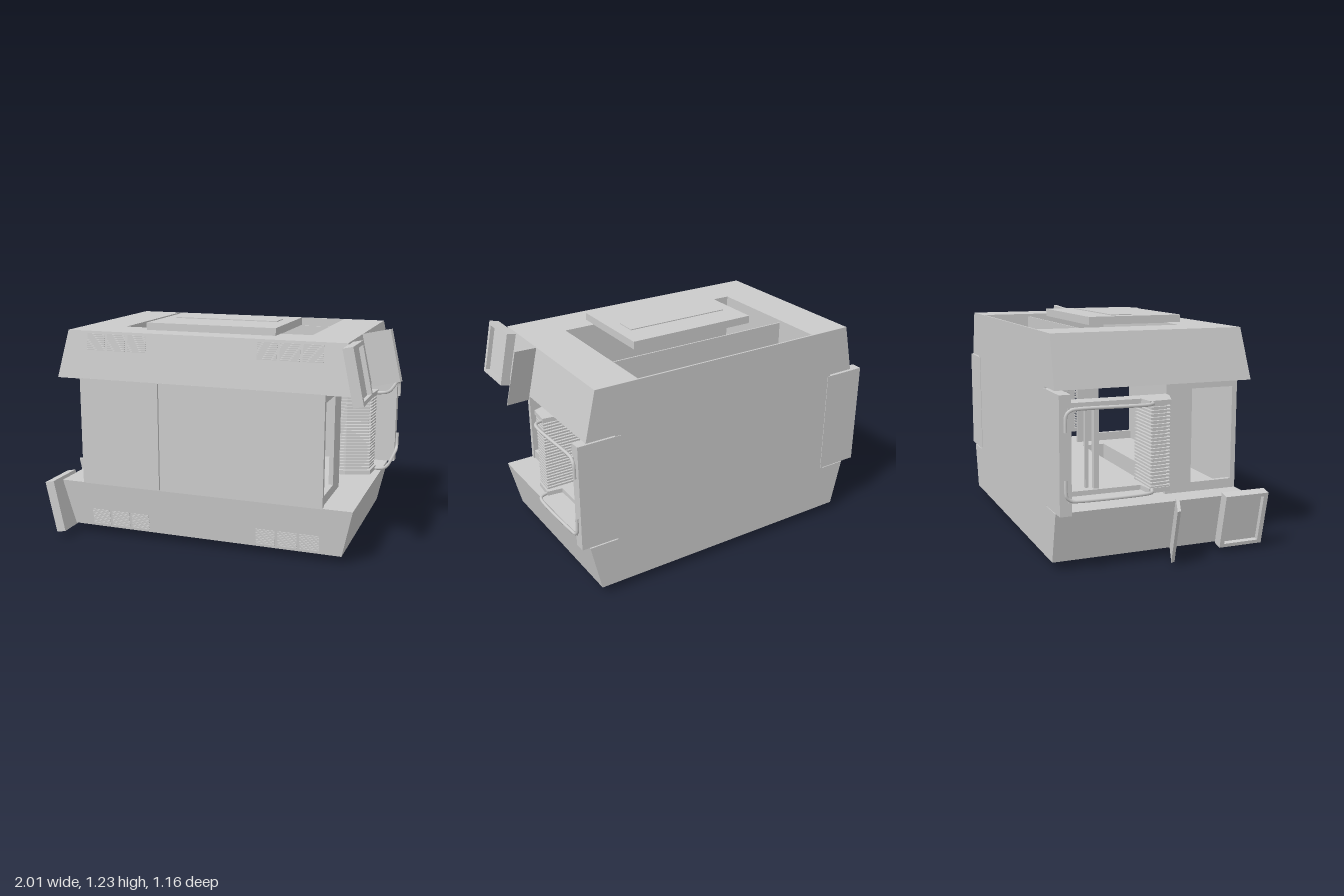
import * as THREE from 'three';

const mat = new THREE.MeshStandardMaterial({ color: 0xcccccc, flatShading: true, side: THREE.DoubleSide });
const smooth = new THREE.MeshStandardMaterial({ color: 0xcccccc });

function add(parent, name, geo, material = mat) {
  const m = new THREE.Mesh(geo, material);
  m.name = name;
  parent.add(m);
  return m;
}

// Box given by its limits on each axis
function box(parent, name, x0, x1, y0, y1, z0, z1) {
  const g = new THREE.BoxGeometry(x1 - x0, y1 - y0, z1 - z0);
  g.translate((x0 + x1) / 2, (y0 + y1) / 2, (z0 + z1) / 2);
  return add(parent, name, g);
}

const vectors = pts => pts.map(p => new THREE.Vector2(...p));
const shapeOf = pts => new THREE.Shape(vectors(pts));
const extrude = (shape, depth) => new THREE.ExtrudeGeometry(shape, { depth, bevelEnabled: false });

// Outline in x/y pushed from z0 to z1
function slice(parent, name, pts, z0, z1) {
  return add(parent, name, extrude(shapeOf(pts), z1 - z0).translate(0, 0, z0));
}

// Height-dependent front face of the sloped housing
const frontZ = y => 0.483 - 0.035 * (y - 0.918) / 0.267;

function housing(parent) {
  const g = new THREE.Group();
  g.name = 'housing';
  parent.add(g);
  const y0 = 0.918, y1 = 1.185, w0 = 0.853, w1 = 0.793, r = 0.55;
  // Shoulders either side of the open middle channel
  for (const s of [1, -1])
    slice(g, 'housingShoulder', [[s * r, y0], [s * w0, y0], [s * w1, y1], [s * r, y1]], -0.58, 0.213);
  // Channel floor, back wall and partition
  box(g, 'channelFloor', -r, r, y0, 0.93, -0.575, 0.065);
  box(g, 'channelBack', -r, r, y0, y1, -0.58, -0.57);
  box(g, 'channelPartition', -r, r, y0, 1.17, -0.294, -0.286);
  // Front section with leaning face
  const front = slice(g, 'housingFront', [[-w0, y0], [w0, y0], [w1, y1], [-w1, y1]], 0.213, 0.483).geometry;
  const p = front.attributes.position;
  for (let i = 0; i < p.count; i++) if (p.getZ(i) > 0.4) p.setZ(i, frontZ(p.getY(i)));
  front.computeVertexNormals();

  // Raised cover plate
  box(g, 'coverPlate', -0.378, 0.373, 1.183, 1.226, -0.23, 0.307);
  box(g, 'coverInlay', -0.31, 0.3, 1.22, 1.231, -0.075, 0.045);

  // Vent blocks: three on each side, closely stacked slats
  for (const s of [1, -1]) for (let b = 0; b < 3; b++) for (let k = 0; k < 9; k++) {
    const y = 1.083 + k * 0.0105;
    const slat = add(g, 'ventSlat', new THREE.BoxGeometry(0.108, 0.005, 0.008));
    slat.position.set(s * (0.372 + b * 0.123), y, frontZ(y));
  }
}

// Framed panel lying against the sloped corner
function cornerPanel(parent, y) {
  const g = new THREE.Group();
  g.name = 'cornerPanel';
  const frame = shapeOf([[-0.125, -0.15], [0.125, -0.15], [0.125, 0.15], [-0.125, 0.15]]);
  frame.holes.push(new THREE.Path(vectors([[-0.1, -0.13], [-0.1, 0.13], [0.1, 0.13], [0.1, -0.13]])));
  add(g, 'panelFrame', extrude(frame, 0.055));
  box(g, 'panelInset', -0.11, 0.11, -0.14, 0.14, 0, 0.03);
  // Turned to face outward, then leaned along the slope
  g.rotation.y = Math.PI / 2;
  const lean = new THREE.Group();
  lean.name = 'cornerPanelMount';
  lean.add(g);
  lean.rotation.z = 0.21;
  lean.position.set(0.824, y, 0.455);
  parent.add(lean);
}

// Thin flap standing off the sloped side
function sideFlap(parent) {
  const a = [0.787, 1.185, 0.085], b = [0.852, 0.9, 0.085];
  const out = [0.146, 0.027, -0.06], t = [0.008, 0, -0.022];
  const plus = (u, v) => u.map((n, i) => n + v[i]);
  const quad = [a, b, plus(b, out), plus(a, out)];
  const pos = [...quad, ...quad.map(q => plus(q, t))].flat();
  const g = new THREE.BufferGeometry();
  g.setAttribute('position', new THREE.Float32BufferAttribute(pos, 3));
  const idx = [0, 1, 2, 0, 2, 3, 4, 6, 5, 4, 7, 6];
  for (let i = 0; i < 4; i++) {
    const j = (i + 1) % 4;
    idx.push(i, i + 4, j, j, i + 4, j + 4);
  }
  g.setIndex(idx);
  g.computeVertexNormals();
  add(parent, 'sideFlap', g);
}

function sideBay(parent, dx) {
  const g = new THREE.Group();
  g.name = 'sideBay';
  g.position.x = dx;
  parent.add(g);
  // Side wall with window, outlined in z/y
  const wall = shapeOf([[0.07, 0.312], [0.483, 0.312], [0.483, 0.918], [0.07, 0.918]]);
  wall.holes.push(new THREE.Path(vectors([[0.218, 0.365], [0.218, 0.868], [0.455, 0.868], [0.455, 0.365]])));
  add(g, 'windowWall', extrude(wall, 0.025).rotateY(-Math.PI / 2).translate(0.7, 0, 0));
  // Rear flange
  box(g, 'rearFlange', 0.67, 0.915, 0.322, 0.912, -0.583, -0.522);

  // Upper and lower shelves, outlined in x/z
  const shelf = [[0.69, 0.07], [0.735, 0.07], [0.865, 0.02], [0.875, -0.1], [0.79, -0.11], [0.79, -0.53], [0.69, -0.53]];
  for (const y of [0.41, 0.853])
    add(g, 'shelf', extrude(shapeOf(shelf), 0.025).rotateX(Math.PI / 2).translate(0, y, 0));

  // Stack of wedge-shaped cooling ribs around a core, outlined in x/z
  const rib = [[0.69, 0.068], [0.735, 0.065], [0.86, 0.018], [0.868, -0.09], [0.66, -0.09]];
  const ribGeo = extrude(shapeOf(rib), 0.01).rotateX(Math.PI / 2);
  for (let i = 0; i < 24; i++)
    add(g, 'rib', ribGeo).position.y = 0.428 + i * 0.0175;
  const core = [[0.68, 0.05], [0.73, 0.05], [0.845, 0.005], [0.852, -0.075], [0.68, -0.075]];
  add(g, 'ribCore', extrude(shapeOf(core), 0.43).rotateX(Math.PI / 2).translate(0, 0.835, 0));

  // Two uprights
  box(g, 'upright', 0.745, 0.775, 0.4, 0.84, -0.357, -0.33);
  box(g, 'upright', 0.725, 0.745, 0.4, 0.84, -0.392, -0.375);

  // Bent handrails, mirrored about mid height
  for (const s of [1, -1]) {
    const pts = [[0.85, 0.22, -0.08], [0.91, 0.222, -0.1], [0.926, 0.222, -0.13], [0.924, 0.224, -0.49],
      [0.924, 0.22, -0.525], [0.924, 0.2, -0.55], [0.924, 0.165, -0.555], [0.924, 0.115, -0.555]];
    const curve = new THREE.CatmullRomCurve3(
      pts.map(([x, y, z]) => new THREE.Vector3(x, 0.615 + s * y, z)), false, 'centripetal');
    add(g, 'handrail', new THREE.TubeGeometry(curve, 40, 0.009, 8), smooth);
    // Bracket from rail to flange
    const y = 0.615 + s * 0.222;
    box(g, 'railBracket', 0.82, 0.922, y - 0.007, y + 0.007, -0.54, -0.525);
  }
}

export function createModel() {
  const root = new THREE.Group();
  root.name = 'consoleUnit';

  // Everything above and to the side repeats, turned half round about the z axis
  for (let i = 0; i < 2; i++) {
    const half = new THREE.Group();
    half.name = i ? 'lowerHalf' : 'upperHalf';
    housing(half);
    cornerPanel(half, i ? 1.046 : 1.03);
    sideFlap(half);
    sideBay(half, i ? 0.015 : -0.015);
    if (i) {
      half.rotation.z = Math.PI;
      half.position.y = 1.231;
    }
    root.add(half);
  }

  // Front wall in two leaves with a narrow seam
  box(root, 'frontLeafRight', -0.703, -0.242, 0.31, 0.921, 0.455, 0.483);
  box(root, 'frontLeafLeft', -0.236, 0.692, 0.31, 0.921, 0.455, 0.483);
  box(root, 'frontSeam', -0.245, -0.233, 0.31, 0.921, 0.455, 0.465);
  // Back wall
  box(root, 'backWall', -0.7, 0.69, 0.31, 0.921, -0.58, -0.522);
  return root;
}
